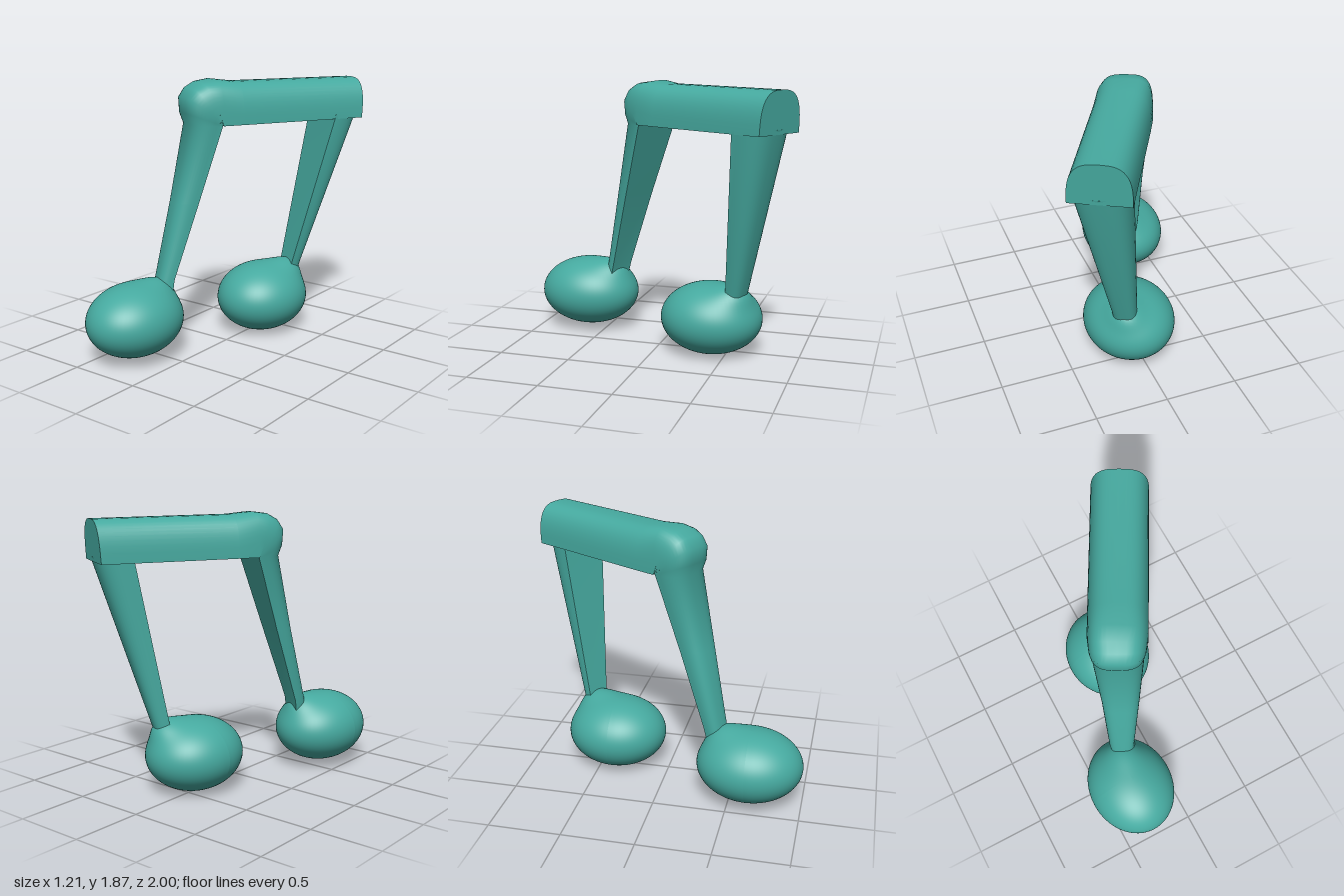
import * as THREE from 'three';
import { toCreasedNormals } from 'three/addons/utils/BufferGeometryUtils.js';

const V = (x, y, z) => new THREE.Vector3(x, y, z);
const UP = V(0, 1, 0);
const FORWARD = V(-0.476, 0, 0.88); // along the beam, towards the front stem
const BACK = FORWARD.clone().negate();
const ACROSS = V(0.88, 0, 0.476);   // across the beam
const ARC = 24;

// One D-shaped section: flat inner edge at p, domed towards "out"
function section(p, out, half, depth, power = 2.8, skew = 0) {
  const ring = [];
  for (let i = 0; i <= ARC; i++) {
    const a = Math.PI * i / ARC;
    const c = Math.cos(a), s = Math.max(0, Math.sin(a));
    const u = Math.sign(c) * Math.pow(Math.abs(c), 2 / power);
    const v = Math.pow(s, 2 / power) * (1 - skew * u);
    ring.push(p.clone().addScaledVector(ACROSS, u * half).addScaledVector(out, v * depth));
  }
  return ring;
}

// Skin a row of sections and cap both ends
function loft(rings) {
  const pos = [], n = rings[0].length;
  const tri = (...pts) => pts.forEach(p => pos.push(p.x, p.y, p.z));
  for (let i = 0; i < rings.length - 1; i++) {
    for (let j = 0; j < n; j++) {
      const k = (j + 1) % n, A = rings[i], B = rings[i + 1];
      tri(A[j], B[j], A[k]);
      tri(A[k], B[j], B[k]);
    }
  }
  const first = rings[0], last = rings[rings.length - 1];
  for (let j = 1; j < n - 1; j++) {
    tri(first[0], first[j], first[j + 1]);
    tri(last[0], last[j + 1], last[j]);
  }
  const g = new THREE.BufferGeometry();
  g.setAttribute('position', new THREE.Float32BufferAttribute(pos, 3));
  return toCreasedNormals(g, 0.7);
}

// Ellipsoid drawn out into a soft neck towards the stem
function noteHead(radii, neck) {
  const g = new THREE.SphereGeometry(1, 64, 48);
  const pos = g.attributes.position, p = V(0, 0, 0);
  const target = neck.clone().divide(radii);
  const pull = target.length() - 1;
  target.normalize();
  for (let i = 0; i < pos.count; i++) {
    p.fromBufferAttribute(pos, i);
    const a = p.angleTo(target);
    p.multiplyScalar(1 + pull * Math.exp(-((a / 0.36) ** 2))).multiply(radii);
    pos.setXYZ(i, p.x, p.y, p.z);
  }
  g.computeVertexNormals();
  return g;
}

export function createModel() {
  const group = new THREE.Group();
  const material = new THREE.MeshStandardMaterial({ color: 0x46aaa0 });
  const add = (name, geometry, at) => {
    const mesh = new THREE.Mesh(geometry, material);
    mesh.name = name;
    if (at) mesh.position.copy(at);
    group.add(mesh);
  };

  // Front stem bending over its inner corner into the beam
  const corner = V(-0.085, 1.57, 0.045);
  const rings = [
    section(V(-0.22, 0.38, 0.385), FORWARD, 0.085, 0.09),
    section(V(-0.225, 0.52, 0.355), FORWARD, 0.09, 0.095),
    section(V(-0.15, 1.05, 0.2), FORWARD, 0.13, 0.14),
  ];
  const bend = [[0, 0.19], [20, 0.23], [40, 0.285], [55, 0.3], [70, 0.3], [90, 0.295]];
  for (const [deg, depth] of bend) {
    const a = THREE.MathUtils.degToRad(deg);
    const out = FORWARD.clone().multiplyScalar(Math.cos(a)).addScaledVector(UP, Math.sin(a));
    rings.push(section(corner, out, 0.175 + deg * 0.0002, depth, 2.8 + deg * 0.01, deg * 0.0004));
  }
  // Beam, with its back end leaning slightly outwards
  const beamEnd = V(0.43, 1.57, -0.9);
  rings.push(section(corner.clone().addScaledVector(BACK, 0.15), UP, 0.195, 0.28, 3));
  rings.push(section(beamEnd, UP.clone().addScaledVector(BACK, 0.06), 0.195, 0.275, 3));
  add('frontStemAndBeam', loft(rings));

  // Back stem, widening up to the underside of the beam
  add('backStem', loft([
    section(V(0.335, 1.6, -0.705), BACK, 0.185, 0.22),
    section(V(0.333, 1.57, -0.7), BACK, 0.185, 0.22),
    section(V(0.14, 0.5, -0.565), BACK, 0.085, 0.1),
    section(V(0.115, 0.36, -0.54), BACK, 0.08, 0.09),
  ]));

  // Note heads
  add('frontNoteHead', noteHead(V(0.305, 0.25, 0.365), V(0.05, 0.24, -0.23)), V(-0.3, 0.28, 0.635));
  add('backNoteHead', noteHead(V(0.315, 0.25, 0.355), V(0.12, 0.245, -0.22)), V(0.04, 0.25, -0.39));
  return group;
}
